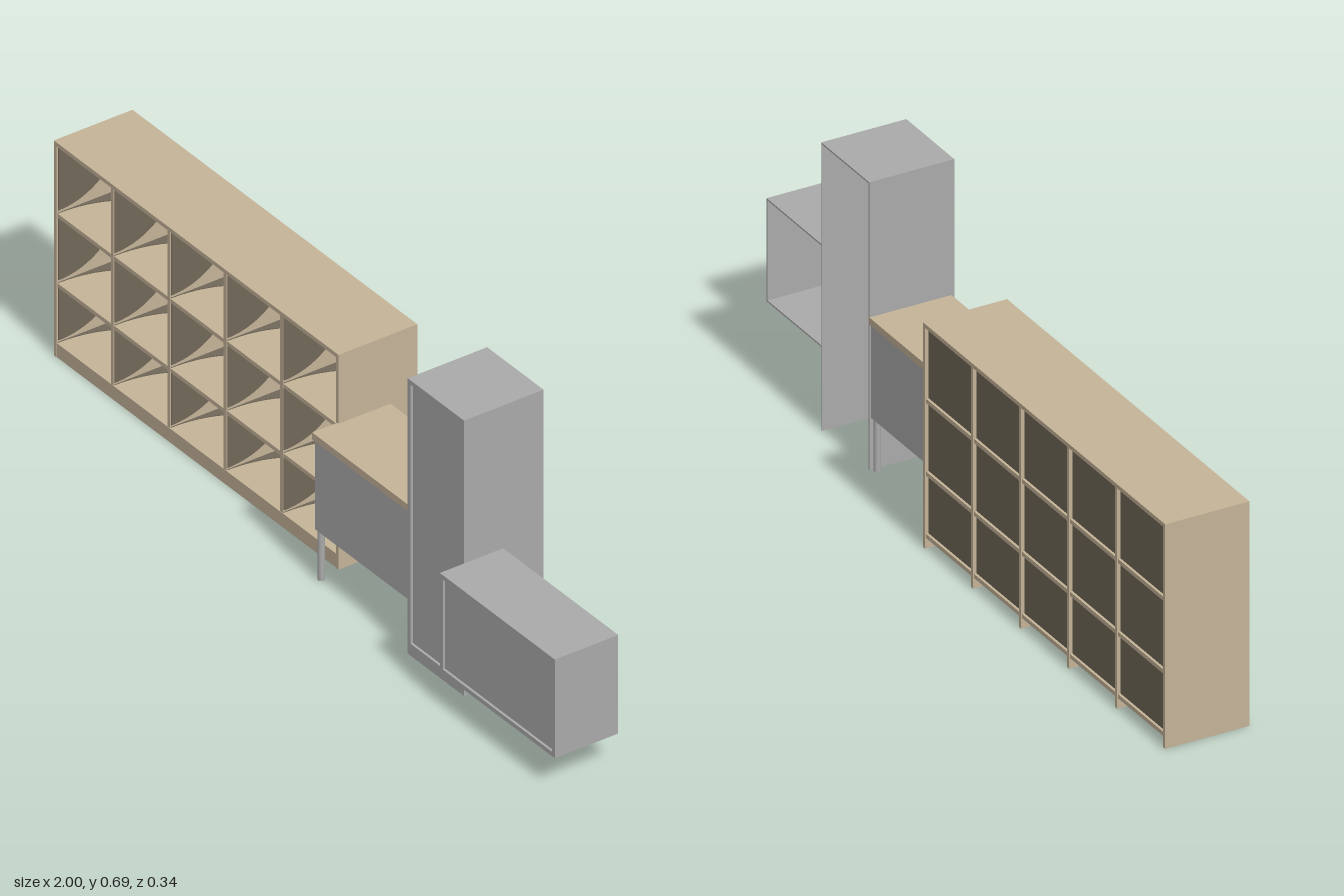
import * as THREE from 'three';

const material = (name, color) => {
  const m = new THREE.MeshStandardMaterial({ color });
  m.name = name;
  return m;
};

export function createModel() {
  const wood = material('light wood', 0xc4b398);
  const dark = material('dark wood', 0x706858);
  const grey = material('grey lacquer', 0xaaaaaa);
  const root = new THREE.Group();

  const group = (name) => {
    const g = new THREE.Group();
    g.name = name;
    root.add(g);
    return g;
  };
  // box given by its minimum and maximum corners
  const box = (parent, name, mat, x0, x1, y0, y1, z0, z1) => {
    const mesh = new THREE.Mesh(new THREE.BoxGeometry(x1 - x0, y1 - y0, z1 - z0), mat);
    mesh.name = name;
    mesh.position.set((x0 + x1) / 2, (y0 + y1) / 2, (z0 + z1) / 2);
    parent.add(mesh);
    return mesh;
  };

  // ---- Cubby shelf: five columns, three rows ----
  const shelf = group('cubbyShelf');
  const L = -1, R = 0.03, H = 0.54, zb = -0.17, zf = 0.035, t = 0.01, cols = 5;
  const pitch = (R - L - t) / cols;
  const levels = [0.035, 0.185, 0.36, H];
  box(shelf, 'topBoard', wood, L, R, H - t, H, zb, zf);
  box(shelf, 'plinth', wood, L + t, R - t, 0, 0.035, zf - 0.012, zf - 0.001);
  for (let i = 0; i <= cols; i++) {
    const x = L + i * pitch;
    const outer = i === 0 || i === cols;
    box(shelf, outer ? 'sidePanel' : 'divider', wood, x, x + t, 0, H - t, zb, outer ? zf : zf - 0.002);
  }
  levels.slice(0, 3).forEach((y) =>
    box(shelf, 'shelfBoard', wood, L + t, R - t, y - t, y, zb + 0.002, zf - 0.003));
  box(shelf, 'backPanel', dark, L + t, R - t, 0.03, H - t, zb + 0.008, zb + 0.014);

  // curved dark facings on the cell walls and the rear corners of the cell floors
  const depth = zf - zb - 0.02;
  const plate = (shape) => new THREE.ExtrudeGeometry(shape, { depth: 0.002, bevelEnabled: false, curveSegments: 12 });
  for (let r = 0; r < 3; r++) {
    const y0 = levels[r];
    const y1 = levels[r + 1] - t;
    const h = y1 - y0;
    const fan = new THREE.Shape();
    fan.moveTo(0, 0);
    fan.lineTo(depth * 0.9, 0);
    fan.absellipse(0, 0, depth * 0.9, h * 0.95, 0, -Math.PI / 2, true);
    fan.lineTo(0, 0);
    const fanGeometry = plate(fan).rotateY(Math.PI / 2);

    const w = pitch - t;
    const corner = new THREE.Shape();
    corner.moveTo(-w / 2, depth);
    corner.lineTo(-w / 2, 0);
    corner.absellipse(0, 0, w / 2, depth * 0.95, Math.PI, 0, true);
    corner.lineTo(w / 2, depth);
    const cornerGeometry = plate(corner).rotateX(-Math.PI / 2);

    for (let c = 0; c < cols; c++) {
      const x = L + t + c * pitch;
      [x, x + w - 0.002].forEach((px) => {
        const wall = new THREE.Mesh(fanGeometry, dark);
        wall.name = 'wallFacing';
        wall.position.set(px, y1, zf - 0.004);
        shelf.add(wall);
      });
      const floor = new THREE.Mesh(cornerGeometry, dark);
      floor.name = 'floorFacing';
      floor.position.set(x + w / 2, y0, zf - 0.004);
      shelf.add(floor);
    }
  }

  // ---- Sideboard on four round legs ----
  const side = group('sideboard');
  box(side, 'sideboardTop', wood, 0.025, 0.384, 0.35, 0.367, -0.1, 0.1);
  box(side, 'sideboardBody', grey, 0.03, 0.381, 0.125, 0.35, -0.096, 0.096);
  const legGeometry = new THREE.CylinderGeometry(0.008, 0.008, 0.125, 16);
  for (const x of [0.038, 0.371]) for (const z of [-0.086, 0.086]) {
    const leg = new THREE.Mesh(legGeometry, grey);
    leg.name = 'leg';
    leg.position.set(x, 0.0625, z);
    side.add(leg);
  }

  // open-backed cabinet with a door set back inside its front frame
  const cabinet = (name, x0, x1, y0, y1, z0, z1, hasFloor) => {
    const g = group(name);
    const s = 0.004, f = 0.011, rail = hasFloor ? f : 0.03;
    box(g, 'leftWall', grey, x1 - s, x1, y0, y1, z0, z1);
    box(g, 'rightWall', grey, x0, x0 + s, y0, y1, z0, z1);
    box(g, 'top', grey, x0 + s, x1 - s, y1 - s, y1, z0, z1);
    if (hasFloor) box(g, 'floor', grey, x0 + s, x1 - s, y0, y0 + s, z0, z1);
    box(g, 'frameTop', grey, x0 + s, x1 - s, y1 - f, y1 - s, z1 - f, z1);
    box(g, 'frameBottom', grey, x0 + s, x1 - s, y0 + (hasFloor ? s : 0), y0 + rail, z1 - f, z1);
    box(g, 'frameLeft', grey, x1 - f, x1 - s, y0 + rail, y1 - f, z1 - f, z1);
    box(g, 'frameRight', grey, x0 + s, x0 + f, y0 + rail, y1 - f, z1 - f, z1);
    box(g, 'door', grey, x0 + f, x1 - f, y0 + rail, y1 - f, z1 - f, z1 - 0.006);
    return g;
  };
  cabinet('tallCabinet', 0.38, 0.584, 0, 0.692, -0.1, 0.107, false);
  const wall = cabinet('wallCabinet', 0.584, 1, 0.085, 0.333, 0.005, 0.17, true);
  box(wall, 'innerStrip', wood, 0.795, 0.807, 0.155, 0.265, 0.154, 0.159);

  return root;
}
